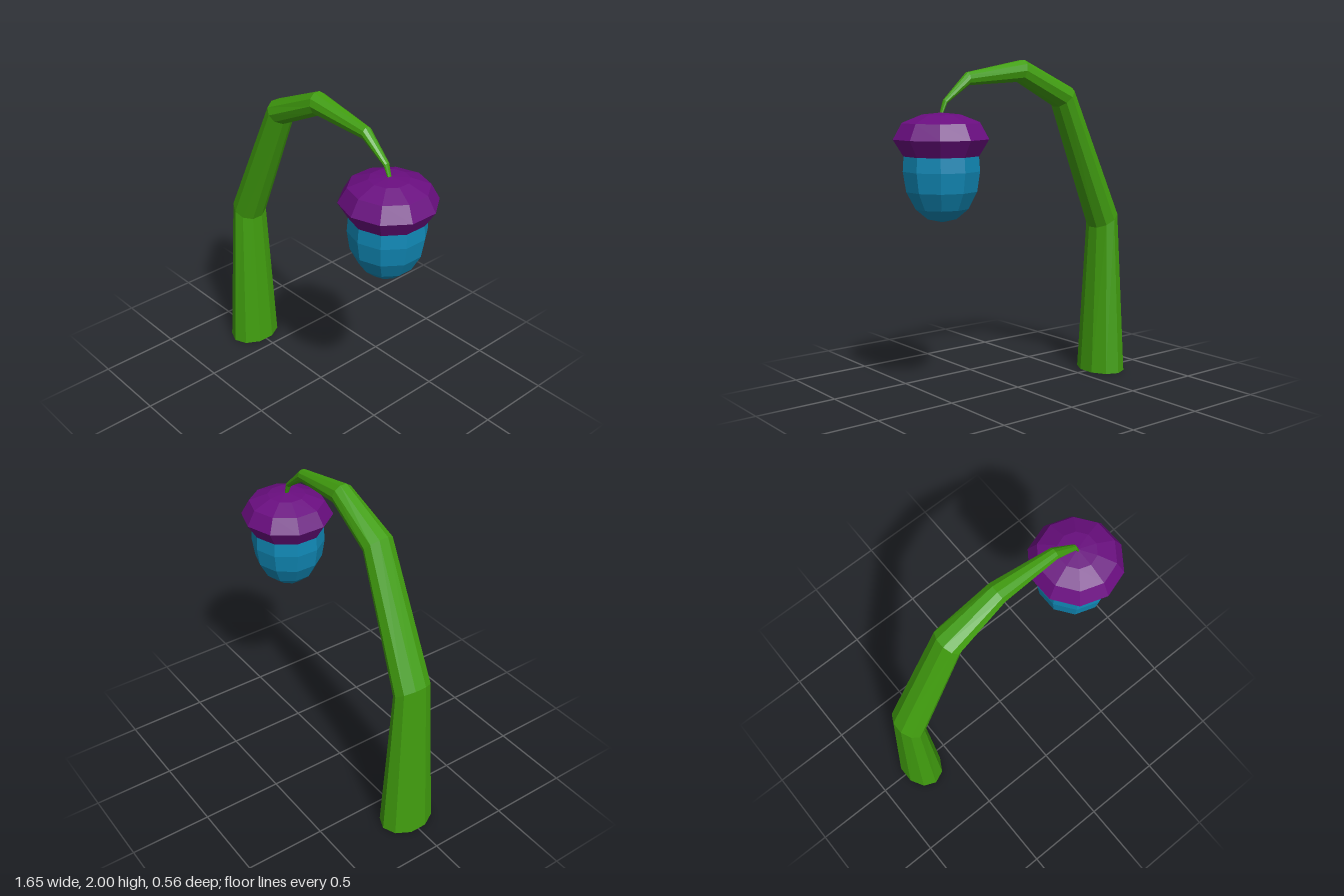
import * as THREE from 'three';

const SIDES = 10;

// Facet a geometry so every face keeps its own normal
function faceted(geometry) {
  const g = geometry.index ? geometry.toNonIndexed() : geometry;
  g.computeVertexNormals();
  return g;
}

// Bent tapering tube: each ring is [outerX, outerY, innerX, innerY, halfDepth]
function stemGeometry(rings) {
  const spread = Math.cos(Math.PI / SIDES);
  const pos = [], idx = [];
  rings.forEach(([ox, oy, ix, iy, depth]) => {
    const cx = (ox + ix) / 2, cy = (oy + iy) / 2;
    const ux = (ix - ox) / 2 / spread, uy = (iy - oy) / 2 / spread;
    for (let j = 0; j < SIDES; j++) {
      const a = Math.PI / 2 + (j / SIDES) * Math.PI * 2;
      pos.push(cx + ux * Math.cos(a), cy + uy * Math.cos(a), depth * Math.sin(a));
    }
  });
  for (let i = 0; i < rings.length - 1; i++) {
    for (let j = 0; j < SIDES; j++) {
      const k = (j + 1) % SIDES;
      const a = i * SIDES + j, b = i * SIDES + k, c = a + SIDES, d = b + SIDES;
      idx.push(a, c, b, b, c, d);
    }
  }
  // End caps
  const last = (rings.length - 1) * SIDES;
  for (let j = 1; j < SIDES - 1; j++) {
    idx.push(0, j, j + 1, last, last + j + 1, last + j);
  }
  const g = new THREE.BufferGeometry();
  g.setAttribute('position', new THREE.Float32BufferAttribute(pos, 3));
  g.setIndex(idx);
  return faceted(g);
}

// Turned shape from [radius, y] points, bottom to top
function turned(points) {
  return faceted(new THREE.LatheGeometry(points.map(([r, y]) => new THREE.Vector2(r, y)), SIDES));
}

export function createModel() {
  const material = (name, color) => {
    const m = new THREE.MeshStandardMaterial({ color, flatShading: true });
    m.name = name;
    return m;
  };
  const green = material('stemGreen', 0x419e0f);
  const purple = material('capPurple', 0x6a0e80);
  const blue = material('bulbBlue', 0x1088b5);

  const model = new THREE.Group();
  model.name = 'hangingLanternPlant';
  const add = (name, geometry, mat, parent = model) => {
    const mesh = new THREE.Mesh(geometry, mat);
    mesh.name = name;
    parent.add(mesh);
  };

  // Arching stem
  add('stem', stemGeometry([
    [-0.825, 0, -0.572, 0, 0.172],
    [-0.775, 1.05, -0.62, 0.945, 0.117],
    [-0.405, 1.835, -0.302, 1.722, 0.094],
    [-0.035, 2.0, -0.005, 1.872, 0.067],
    [0.372, 1.926, 0.366, 1.853, 0.036],
    [0.535, 1.772, 0.517, 1.752, 0.019],
    [0.563, 1.69, 0.547, 1.69, 0.012],
  ]), green);

  // Hanging lantern: cap and bulb
  const lantern = new THREE.Group();
  lantern.name = 'lantern';
  lantern.position.x = 0.553;
  model.add(lantern);
  add('cap', turned([
    [0, 1.46], [0.222, 1.46], [0.281, 1.555], [0.23, 1.645], [0.115, 1.69], [0, 1.702],
  ]), purple, lantern);
  add('bulb', turned([
    [0, 1.08], [0.085, 1.1], [0.156, 1.16], [0.209, 1.26], [0.227, 1.375], [0.221, 1.465], [0, 1.465],
  ]), blue, lantern);

  return model;
}
